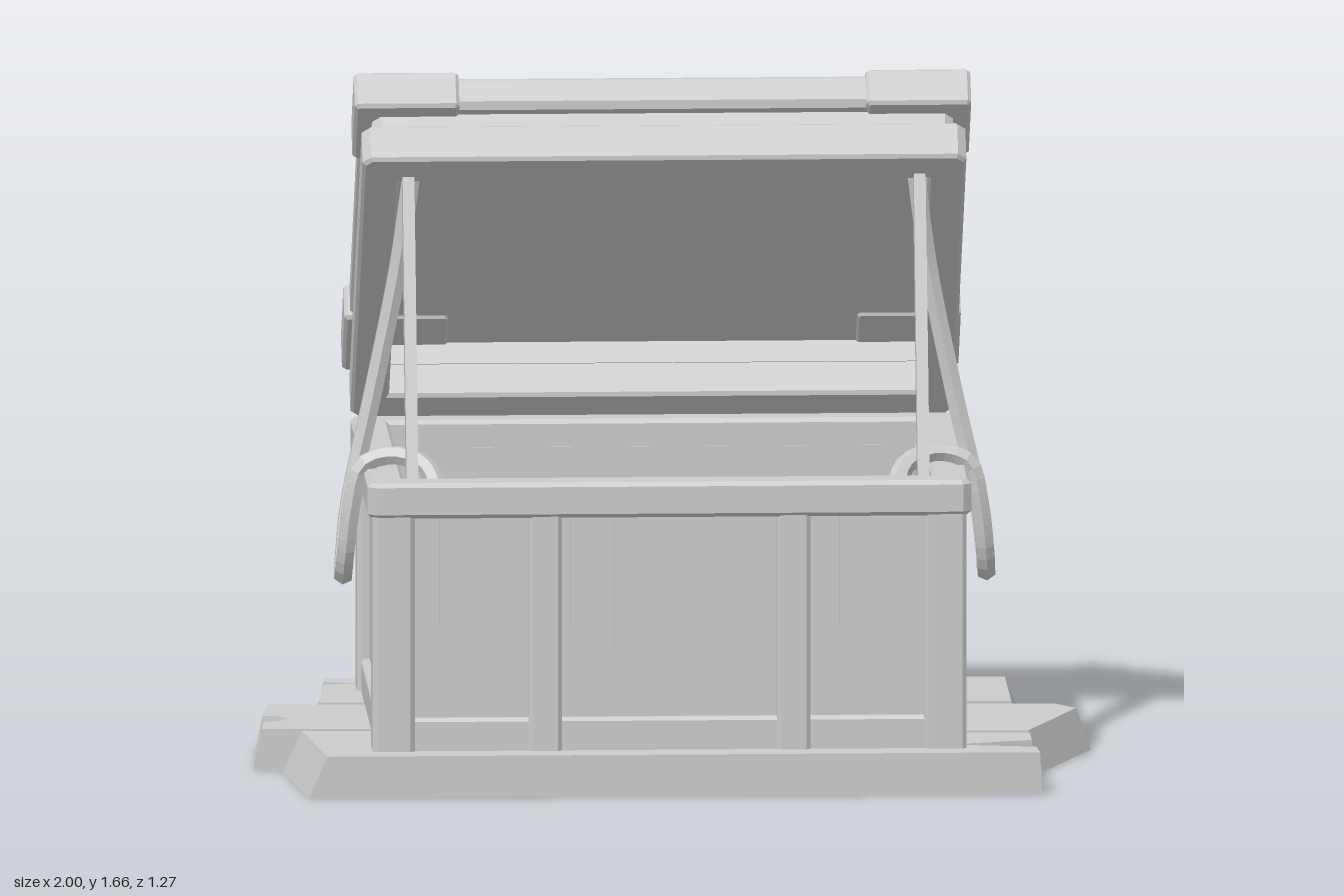
import * as THREE from 'three';

const mat = new THREE.MeshStandardMaterial({ color: 0xcccccc });

function add(parent, geometry, name) {
  const mesh = new THREE.Mesh(geometry, mat);
  mesh.name = name;
  parent.add(mesh);
  return mesh;
}

// Box given by its limits on each axis
function box(parent, name, x0, x1, y0, y1, z0, z1) {
  const g = new THREE.BoxGeometry(x1 - x0, y1 - y0, z1 - z0);
  g.translate((x0 + x1) / 2, (y0 + y1) / 2, (z0 + z1) / 2);
  return add(parent, g, name);
}

// Ground plan points [x, z] to shape points
const plan = (points) => points.map(([x, z]) => new THREE.Vector2(x, -z));

// Horizontal slab with chamfered edges and cut corners, optionally with an opening inset by wall
function slab(parent, name, [x0, x1], [y0, y1], [z0, z1], { bevel = 0, cut = 0.02, wall = 0 }) {
  const shape = new THREE.Shape(plan([[x0 + cut, z0], [x1 - cut, z0], [x1, z0 + cut], [x1, z1 - cut],
    [x1 - cut, z1], [x0 + cut, z1], [x0, z1 - cut], [x0, z0 + cut]]));
  if (wall) {
    const [a, b, c, d] = [x0 + wall, x1 - wall, z0 + wall, z1 - wall];
    shape.holes.push(new THREE.Path(plan([[a, c], [a, d], [b, d], [b, c]])));
  }
  const g = new THREE.ExtrudeGeometry(shape, {
    depth: y1 - y0 - 2 * bevel, bevelEnabled: bevel > 0, bevelSize: bevel,
    bevelThickness: bevel, bevelOffset: -bevel, bevelSegments: 1,
  });
  g.rotateX(-Math.PI / 2).translate(0, y0 + bevel, 0);
  return add(parent, g, name);
}

// Upright prism from a ground plan outline
function prism(points, height) {
  const g = new THREE.ExtrudeGeometry(new THREE.Shape(plan(points)), { depth: height, bevelEnabled: false });
  return g.rotateX(-Math.PI / 2);
}

// Plank whose two ends lean inward towards the top
function plank(parent, name, points, leanLeft, leanRight) {
  const g = prism(points, 0.1);
  const p = g.attributes.position;
  for (let i = 0; i < p.count; i++) {
    if (p.getY(i) < 0.05) continue;
    const x = p.getX(i);
    if (x < -0.78) p.setX(i, x + leanLeft);
    if (x > 0.8) p.setX(i, x - leanRight);
  }
  g.computeVertexNormals();
  add(parent, g, name);
}

function buildBase(root) {
  const base = new THREE.Group();
  base.name = 'base';
  root.add(base);
  plank(base, 'frontPlank', [[-0.93, 0.24], [-0.885, 0.635], [0.857, 0.635], [0.852, 0.55], [0.64, 0.51],
    [0.845, 0.45], [0.845, 0.34]], 0.045, 0.005);
  plank(base, 'middlePlank', [[-0.97, -0.155], [-0.99, 0.01], [-0.95, 0.02], [-0.93, 0.05], [-0.94, 0.08],
    [-0.965, 0.1], [-0.99, 0.1], [-1, 0.21], [0.87, 0.31], [1, -0.03], [0.95, -0.1]], 0.02, 0.035);
  plank(base, 'backPlank', [[-0.815, -0.545], [-0.82, -0.49], [-0.72, -0.47], [-0.82, -0.45], [-0.845, -0.18],
    [0.855, -0.14], [0.855, -0.51]], 0.015, 0.04);
}

function buildBody(chest) {
  const body = new THREE.Group();
  body.name = 'body';
  body.position.z = 0.055;
  chest.add(body);
  const X = 0.705, Z = 0.515, recess = 0.03, wall = 0.085, c = 0.01;

  // Hollow panel walls and floor
  slab(body, 'panelWalls', [-X + recess, X - recess], [0.1, 0.68], [-Z + recess, Z - recess],
    { wall: wall - recess });
  box(body, 'floor', -X + wall, X - wall, 0.1, 0.13, -Z + wall, Z - wall);

  // Angled corner post with chamfered edges
  const corner = [[X - 0.1, Z - 0.04], [X - 0.1, Z - c], [X - 0.1 + c, Z], [X - c, Z], [X, Z - c],
    [X, Z - 0.11 + c], [X - c, Z - 0.11], [X - 0.04, Z - 0.11], [X - 0.04, Z - 0.04]];
  const post = [[0.255, Z - 0.04], [0.255, Z - c], [0.255 + c, Z], [0.335 - c, Z], [0.335, Z - c],
    [0.335, Z - 0.04]];
  for (const sx of [-1, 1]) {
    for (const sz of [-1, 1]) {
      const mirror = ([x, z]) => [sx * x, sz * z];
      add(body, prism(corner.map(mirror), 0.57).translate(0, 0.1, 0), 'cornerPost');
      add(body, prism(post.map(mirror), 0.57).translate(0, 0.1, 0), 'middlePost');
    }
    // Bottom rails on the sides, front and back
    const rail = (s, outer) => [s * (outer - 0.04), s * (outer - 0.01)].sort((a, b) => a - b);
    slab(body, 'sideRail', rail(sx, X), [0.09, 0.178], [-Z + 0.1, Z - 0.1], { bevel: 0.008, cut: 0.001 });
    slab(body, 'longRail', [-0.61, 0.61], [0.09, 0.178], rail(sx, Z), { bevel: 0.008, cut: 0.001 });
    // Narrow cloth on each outer front panel
    box(body, 'sideCloth', sx * 0.475 - 0.07, sx * 0.475 + 0.07, 0.4, 0.665, Z - 0.035, Z - 0.018);
  }
  slab(body, 'rim', [-0.717, 0.717], [0.66, 0.745], [-0.522, 0.522], { bevel: 0.01, wall: 0.09 });

  // Wide cloth with a pointed banner over it
  box(body, 'wideCloth', -0.235, 0.235, 0.4, 0.665, Z - 0.035, Z - 0.018);
  const banner = new THREE.Shape([[-0.13, 0.665], [-0.13, 0.335], [0, 0.2], [0.13, 0.335], [0.13, 0.665]]
    .map(([x, y]) => new THREE.Vector2(x, y)));
  const g = new THREE.ExtrudeGeometry(banner, { depth: 0.028, bevelEnabled: false });
  add(body, g.translate(0, 0, Z - 0.035), 'banner');
}

function buildLid(chest) {
  // Local z runs from hinge to front edge, local y is the lid's outward direction
  const lid = new THREE.Group();
  lid.name = 'lid';
  lid.position.set(0, 0.75, -0.46);
  lid.rotation.x = -Math.PI / 4;
  chest.add(lid);
  slab(lid, 'lidRim', [-0.717, 0.717], [-0.012, 0.091], [-0.004, 1.04], { bevel: 0.008, wall: 0.09 });
  slab(lid, 'lidNeck', [-0.69, 0.69], [0.08, 0.15], [0.025, 1.01], { wall: 0.063 });
  slab(lid, 'lidTop', [-0.718, 0.718], [0.142, 0.233], [-0.006, 1.042], { bevel: 0.015 });
  for (const xs of [[-0.732, -0.483], [0.483, 0.732]])
    for (const zs of [[-0.018, 0.2], [0.837, 1.053]])
      slab(lid, 'lidCorner', xs, [0.136, 0.239], zs, { bevel: 0.008, cut: 0.008 });
}

function buildSupports(chest) {
  const strapPoints = [[0.6, 1.42, 0.21], [0.63, 1.2, 0.185], [0.69, 0.9, 0.185], [0.745, 0.65, 0.21],
    [0.76, 0.52, 0.24], [0.763, 0.478, 0.27], [0.76, 0.53, 0.31], [0.745, 0.66, 0.33], [0.72, 0.75, 0.33],
    [0.65, 0.775, 0.33], [0.575, 0.755, 0.36], [0.545, 0.7, 0.42], [0.545, 0.6, 0.475]];
  for (const s of [-1, 1]) {
    // Leaning prop bar between rim and lid
    const a = new THREE.Vector3(s * 0.607, 0.66, 0.478), b = new THREE.Vector3(s * 0.607, 1.42, 0.216);
    const bar = add(chest, new THREE.BoxGeometry(0.028, a.distanceTo(b), 0.06), 'propBar');
    bar.position.copy(a).lerp(b, 0.5);
    bar.rotation.x = Math.atan2(b.z - a.z, b.y - a.y);
    // Slack faceted strap looping over the rim
    const curve = new THREE.CatmullRomCurve3(strapPoints.map(([x, y, z]) => new THREE.Vector3(s * x, y, z)));
    const strap = new THREE.TubeGeometry(curve, 60, 0.024, 6).toNonIndexed();
    strap.computeVertexNormals();
    add(chest, strap, 'strap');
  }
}

export function createModel() {
  const root = new THREE.Group();
  root.name = 'openChest';
  buildBase(root);
  const chest = new THREE.Group();
  chest.name = 'chest';
  chest.position.x = -0.025;
  root.add(chest);
  buildBody(chest);
  buildLid(chest);
  buildSupports(chest);
  return root;
}
